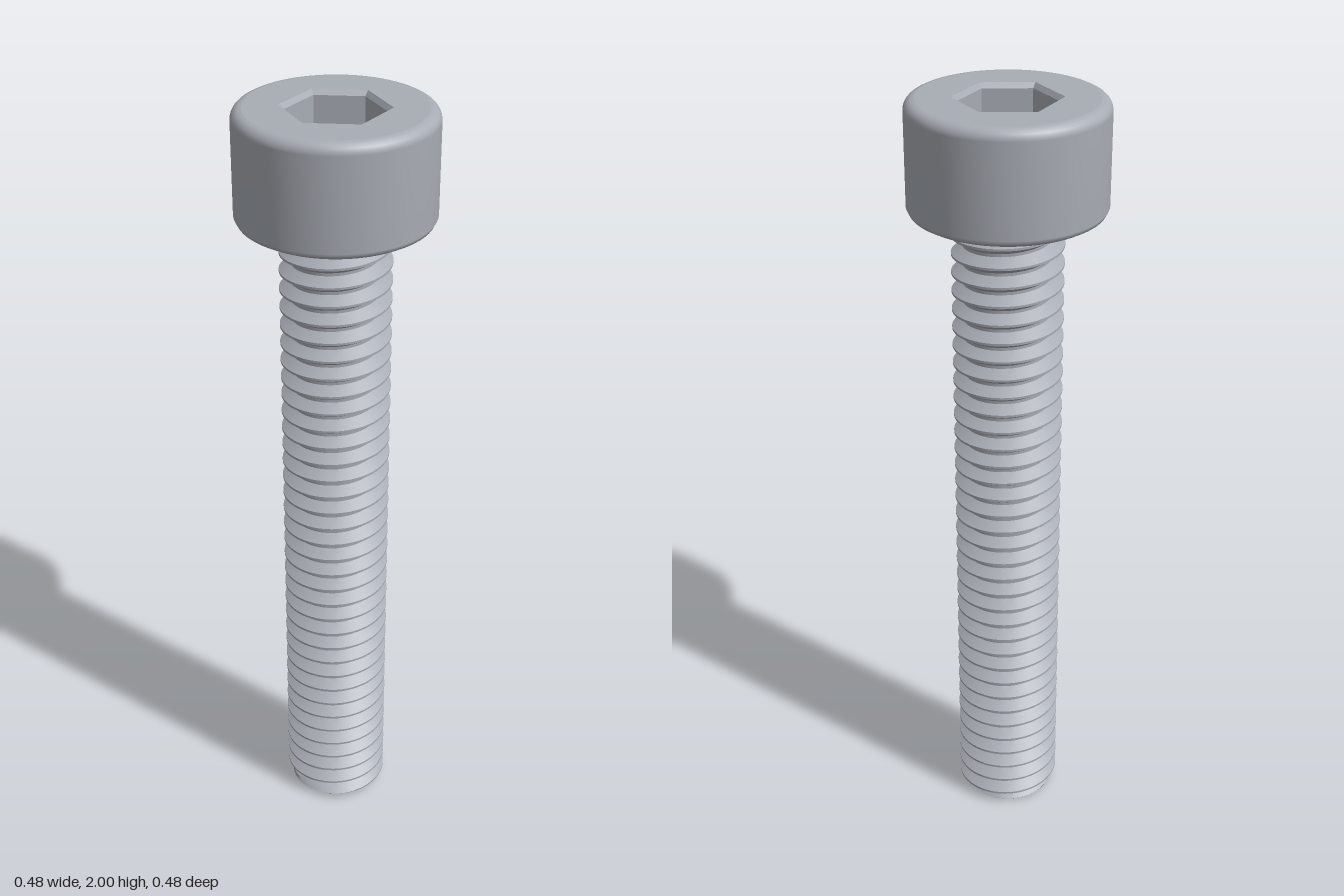
import * as THREE from 'three';
import { toCreasedNormals } from 'three/addons/utils/BufferGeometryUtils.js';

const TOP = 2, SEAT = 1.725, HEAD_R = 0.241;
const CREST = 0.137, ROOT = 0.109, PITCH = 0.0483, TIP_R = 0.116;
const HEX_TOP = 0.131, HEX = 0.121, SOCKET_FLOOR = 1.86;
const SEGS = 72;

// One thread pitch: [fraction of the pitch, radius]
const PROFILE = [[0, ROOT], [0.16, ROOT], [0.34, (ROOT + CREST) / 2], [0.52, CREST], [0.64, CREST], [0.82, (ROOT + CREST) / 2], [1, ROOT]];

function threadRadius(y, turn) {
  let f = y / PITCH - turn;
  f -= Math.floor(f);
  const i = Math.max(1, PROFILE.findIndex(p => p[0] >= f));
  const [f0, r0] = PROFILE[i - 1], [f1, r1] = PROFILE[i];
  return Math.min(r0 + (r1 - r0) * (f - f0) / (f1 - f0), TIP_R + y); // chamfered tip
}

// Right-handed helical surface, trimmed flat at both ends and closed at the tip
function threadGeometry() {
  const turns = Math.ceil(SEAT / PITCH), rows = [];
  for (let k = -1; k <= turns; k++)
    for (const [f] of PROFILE.slice(0, -1)) rows.push(k + f);
  const point = (row, s) => {
    const turn = s / SEGS, a = turn * Math.PI * 2;
    const y = row === null ? 0 : THREE.MathUtils.clamp((row + turn) * PITCH, 0, SEAT);
    const r = row === null ? 0 : threadRadius(y, turn);
    return new THREE.Vector3(r * Math.cos(a), y, -r * Math.sin(a));
  };
  const pos = [];
  const tri = (...p) => {
    const [a, b, c] = p;
    if (b.clone().sub(a).cross(c.clone().sub(a)).length() < 1e-10) return;
    p.forEach(v => pos.push(v.x, v.y, v.z));
  };
  for (let s = 0; s < SEGS; s++) {
    tri(point(null, s), point(rows[0], s + 1), point(rows[0], s));
    for (let j = 0; j < rows.length - 1; j++) {
      const a = point(rows[j], s), b = point(rows[j], s + 1);
      const c = point(rows[j + 1], s + 1), d = point(rows[j + 1], s);
      // rows trimmed to the tip plane add nothing
      if (Math.max(a.y, b.y, c.y, d.y) === 0) continue;
      tri(a, b, c);
      tri(a, c, d);
    }
  }
  const g = new THREE.BufferGeometry();
  g.setAttribute('position', new THREE.Float32BufferAttribute(pos, 3));
  return toCreasedNormals(g, 0.5);
}

// Inward-facing six-sided wall with corners on the x axis
function hexWall(rTop, rBottom, yTop, yBottom) {
  let g = new THREE.CylinderGeometry(rTop, rBottom, yTop - yBottom, 6, 1, true, Math.PI / 2);
  g.scale(-1, 1, 1);
  g.translate(0, (yTop + yBottom) / 2, 0);
  g = g.toNonIndexed();
  g.computeVertexNormals();
  return g;
}

function hexPoints(r) {
  return Array.from({ length: 6 }, (_, i) =>
    new THREE.Vector2(r * Math.cos(i * Math.PI / 3), r * Math.sin(i * Math.PI / 3)));
}

export function createModel() {
  const screw = new THREE.Group();
  screw.name = 'socketHeadScrew';
  const steel = new THREE.MeshStandardMaterial({ color: 0xa8acb4 });
  steel.name = 'steel grey';
  const add = (name, geometry) => {
    const mesh = new THREE.Mesh(geometry, steel);
    mesh.name = name;
    screw.add(mesh);
  };

  // Head wall with a rounded upper edge and a small lower bevel
  const side = [new THREE.Vector2(0.221, SEAT), new THREE.Vector2(0.235, SEAT + 0.008), new THREE.Vector2(HEAD_R, SEAT + 0.02)];
  const round = 0.027;
  for (let i = 0; i <= 5; i++) {
    const a = i / 5 * Math.PI / 2;
    side.push(new THREE.Vector2(HEAD_R - round + round * Math.cos(a), TOP - round + round * Math.sin(a)));
  }
  add('headSide', new THREE.LatheGeometry(side, SEGS));

  // Top face around the hexagonal opening
  const face = new THREE.Shape().absarc(0, 0, HEAD_R - round, 0, Math.PI * 2);
  face.holes.push(new THREE.Path(hexPoints(HEX_TOP)));
  add('headTop', new THREE.ShapeGeometry(face, SEGS / 2).rotateX(-Math.PI / 2).translate(0, TOP, 0));

  add('headUnderside', new THREE.RingGeometry(0.1, 0.221, SEGS).rotateX(Math.PI / 2).translate(0, SEAT, 0));

  // Hexagonal socket
  add('socketBevel', hexWall(HEX_TOP, HEX, TOP, TOP - 0.012));
  add('socketWall', hexWall(HEX, HEX, TOP - 0.012, SOCKET_FLOOR));
  add('socketFloor', new THREE.ShapeGeometry(new THREE.Shape(hexPoints(HEX)))
    .rotateX(-Math.PI / 2).translate(0, SOCKET_FLOOR, 0));

  add('threadedShank', threadGeometry());
  return screw;
}
